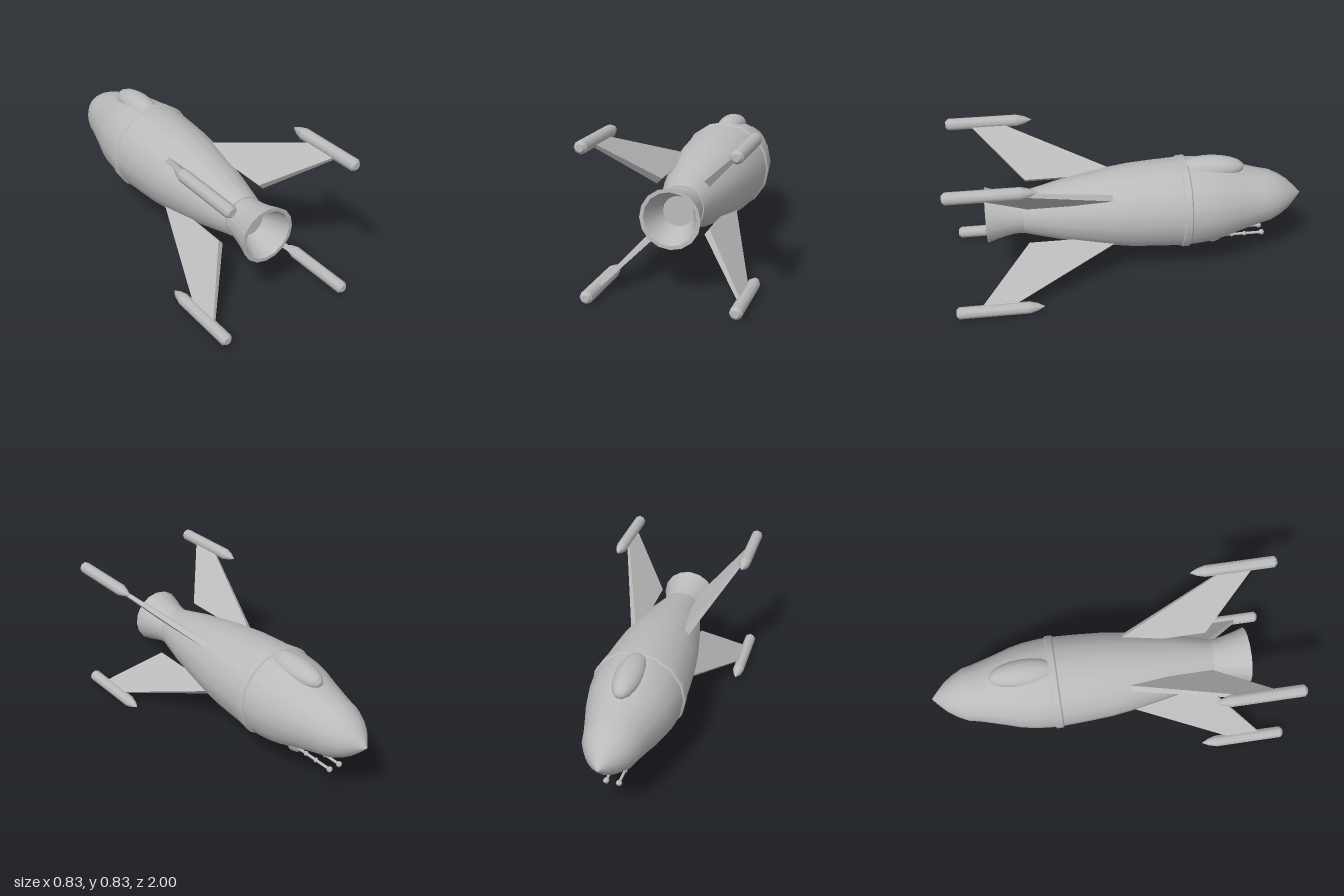
import * as THREE from 'three';
import { mergeGeometries } from 'three/addons/utils/BufferGeometryUtils.js';

const AXIS_Y = 0.415;

// Turns profiles of [radius, z] (tail to nose) around the long axis; edges between profiles stay sharp.
function turned(sides, ...profiles) {
  const parts = profiles.map((p) =>
    new THREE.LatheGeometry(p.map(([r, z]) => new THREE.Vector2(r, -z)), sides));
  return mergeGeometries(parts).rotateX(-Math.PI / 2);
}

// Flat fin in the x (outward) / z plane, thinner towards the tip.
function finGeometry() {
  const g = new THREE.BoxGeometry(1, 1, 1);
  const p = g.attributes.position;
  for (let i = 0; i < p.count; i++) {
    const tip = p.getX(i) > 0, back = p.getZ(i) > 0;
    const z = tip ? (back ? 0.865 : 0.69) : (back ? 0.575 : 0.02);
    p.setXYZ(i, tip ? 0.52 : 0.179, Math.sign(p.getY(i)) * (tip ? 0.009 : 0.0195), z);
  }
  g.computeVertexNormals();
  return g;
}

export function createModel() {
  const model = new THREE.Group();
  model.name = 'rocketShip';
  const hull = new THREE.MeshStandardMaterial({ color: 0xbbbbbb });
  hull.name = 'hullGrey';

  const add = (name, geometry, parent = model, x = 0, y = 0, z = 0) => {
    const mesh = new THREE.Mesh(geometry, hull);
    mesh.name = name;
    mesh.position.set(x, y, z);
    parent.add(mesh);
    return mesh;
  };

  // Fuselage
  add('fuselage', turned(16,
    [[0, 0.6], [0.119, 0.6]],
    [[0.119, 0.6], [0.172, 0.39], [0.207, 0.21], [0.225, 0.11], [0.24, 0], [0.25, -0.15],
      [0.256, -0.28], [0.254, -0.36], [0.245, -0.45], [0.228, -0.53], [0.203, -0.61], [0.177, -0.7],
      [0.163, -0.75], [0.15, -0.81], [0.12, -0.87], [0.085, -0.92], [0.045, -0.96], [0, -1]],
  ), model, 0, AXIS_Y);

  // Raised band with bevelled edges
  add('hullBand', turned(16,
    [[0.245, -0.28], [0.257, -0.28]],
    [[0.257, -0.28], [0.265, -0.288]],
    [[0.265, -0.288], [0.265, -0.322]],
    [[0.265, -0.322], [0.257, -0.33]],
    [[0.257, -0.33], [0.245, -0.33]],
  ), model, 0, AXIS_Y);

  // Hollow engine bell
  add('engineNozzle', turned(16,
    [[0, 0.66], [0.08, 0.66]],
    [[0.08, 0.66], [0.105, 0.72], [0.138, 0.805]],
    [[0.138, 0.805], [0.158, 0.805]],
    [[0.158, 0.805], [0.141, 0.75], [0.128, 0.7], [0.118, 0.65], [0.113, 0.59]],
  ), model, 0, AXIS_Y);

  // Four fins, each with a pod at its tip
  const fin = finGeometry();
  const pod = turned(8,
    [[0, 1], [0.02, 1]],
    [[0.02, 1], [0.034, 0.985]],
    [[0.034, 0.985], [0.034, 0.6]],
    [[0.034, 0.6], [0.022, 0.555], [0, 0.513]]);
  for (let i = 0; i < 4; i++) {
    const wing = new THREE.Group();
    wing.name = 'finAssembly' + (i + 1);
    wing.position.y = AXIS_Y;
    wing.rotation.z = Math.PI / 4 + i * Math.PI / 2;
    add('fin', fin, wing);
    add('tipPod', pod, wing, 0.536).rotation.z = -wing.rotation.z;
    model.add(wing);
  }

  // Cockpit canopy
  const canopy = add('canopy', new THREE.SphereGeometry(1, 16, 10).rotateX(Math.PI / 2), model, 0, 0.63, -0.465);
  canopy.scale.set(0.077, 0.066, 0.19);
  canopy.rotation.x = -0.05;

  // Belly turret with twin barrels
  const turret = new THREE.Group();
  turret.name = 'gunTurret';
  turret.position.set(0, 0.182, -0.495);
  model.add(turret);
  add('turretBall', new THREE.SphereGeometry(0.065, 8, 6), turret);
  const barrel = turned(8,
    [[0.008, 0], [0.008, -0.29]],
    [[0.008, -0.1], [0.014, -0.107], [0.014, -0.113], [0.008, -0.12]],
    [[0.008, -0.175], [0.014, -0.182], [0.014, -0.188], [0.008, -0.195]],
    [[0.008, -0.275], [0.016, -0.283], [0.016, -0.297], [0, -0.306]]);
  for (const side of [-1, 1]) add(side > 0 ? 'leftBarrel' : 'rightBarrel', barrel, turret, side * 0.035, -0.01, 0);

  return model;
}
